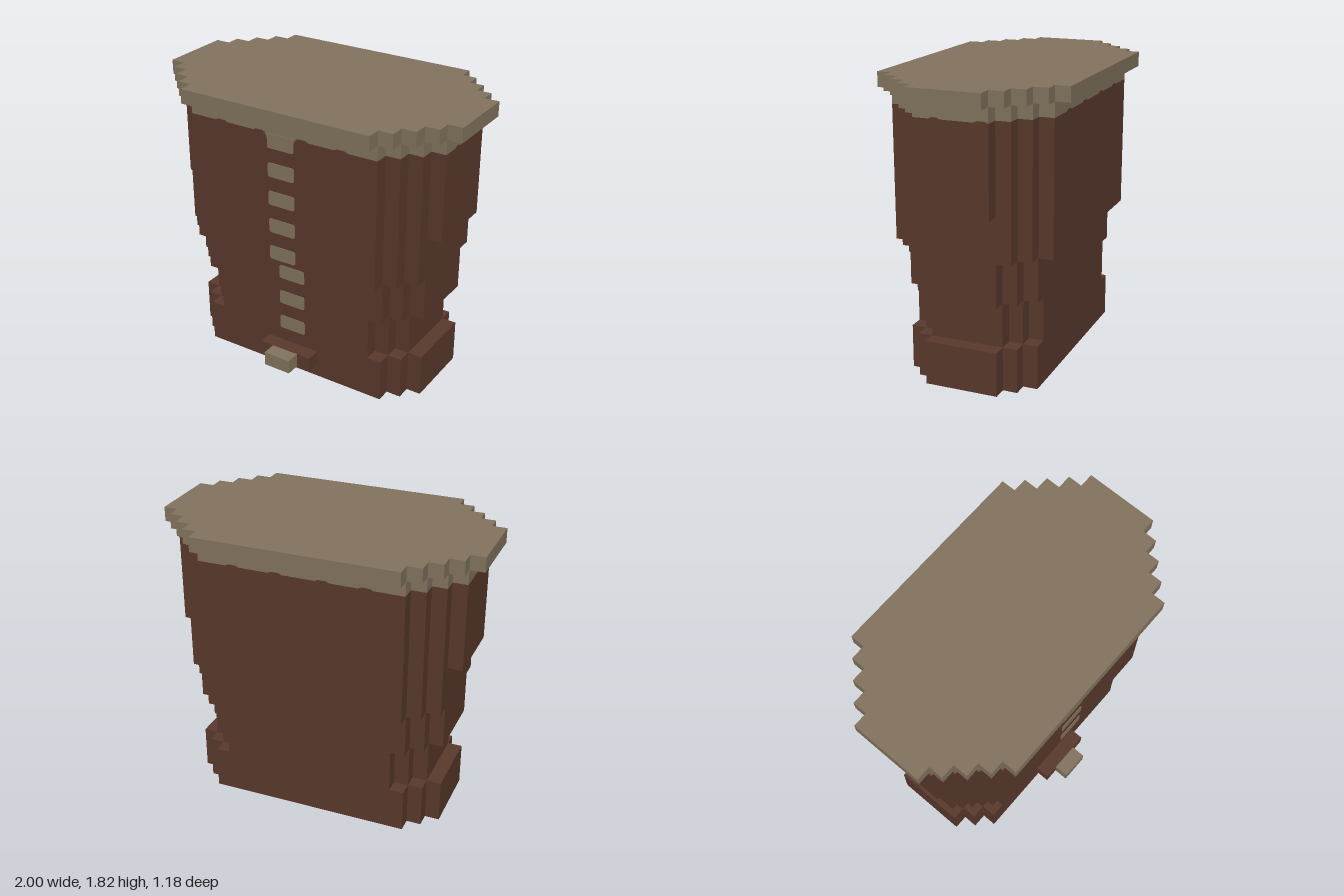
import * as THREE from 'three';

const U = 1 / 11; // one grid step
const PLATE = 0.004;

export function createModel() {
  const model = new THREE.Group();
  model.name = 'steppedBlockBody';

  const brown = new THREE.MeshStandardMaterial({ color: 0x5a392c });
  brown.name = 'dark brown';
  const tan = new THREE.MeshStandardMaterial({ color: 0x83745f });
  tan.name = 'dusty tan';

  function add(name, geometry, material, parent = model) {
    const mesh = new THREE.Mesh(geometry, material);
    mesh.name = name;
    parent.add(mesh);
    return mesh;
  }

  // Layer with stair-stepped ends: half width shrinks one step as half depth grows one step.
  function layer(name, material, y0, y1, maxX, minX, minZ = 2.5) {
    const corner = [];
    for (let x = maxX, z = minZ; x >= minX; x--, z++) {
      if (x < maxX) corner.push([x, z - 1]);
      corner.push([x, z]);
    }
    const flipped = corner.slice().reverse();
    const outline = [
      ...corner,
      ...flipped.map(([x, z]) => [-x, z]),
      ...corner.map(([x, z]) => [-x, -z]),
      ...flipped.map(([x, z]) => [x, -z]),
    ];
    const shape = new THREE.Shape(outline.map(([x, z]) => new THREE.Vector2(x * U, z * U)));
    const geometry = new THREE.ExtrudeGeometry(shape, { depth: (y1 - y0) * U, bevelEnabled: false });
    geometry.rotateX(-Math.PI / 2);
    geometry.translate(0, y0 * U, 0);
    add(name, geometry, material);
  }

  layer('base', brown, 0, 3, 9, 7);
  layer('sideNotch', brown, 3, 6, 8, 6);
  layer('waist', brown, 6, 9, 9, 7);
  layer('chest', brown, 9, 12, 9, 7, 3.5);
  layer('shoulders', brown, 12, 18, 10, 7);
  layer('collar', tan, 18, 19, 10, 7);
  layer('topSlab', tan, 19, 20, 11, 7);

  // Small step at the bottom of the front
  function box(name, material, w, z0) {
    const mesh = add(name, new THREE.BoxGeometry(w * U, U, U), material);
    mesh.position.set(0, 1.5 * U, (z0 + 0.5) * U);
  }
  box('frontLedge', brown, 4, 4.5);
  box('frontLedgeTip', tan, 2, 5.5);

  const plate = (shape) =>
    new THREE.ExtrudeGeometry(shape, { depth: PLATE, bevelEnabled: false, curveSegments: 4 });

  // Dashed stripe down the front
  function roundedRect(w, h, r) {
    const s = new THREE.Shape();
    s.absarc(w / 2 - r, h / 2 - r, r, 0, Math.PI / 2);
    s.absarc(-w / 2 + r, h / 2 - r, r, Math.PI / 2, Math.PI);
    s.absarc(-w / 2 + r, -h / 2 + r, r, Math.PI, Math.PI * 1.5);
    s.absarc(w / 2 - r, -h / 2 + r, r, Math.PI * 1.5, Math.PI * 2);
    s.closePath();
    return s;
  }
  const dash = plate(roundedRect(2 * U, U, 0.014));
  for (let i = 0; i < 7; i++) {
    const row = 3 + 2 * i;
    const mesh = add('frontDash', dash, tan);
    mesh.position.set(0, (row + 0.5) * U, (row < 9 ? 4.5 : 5.5) * U);
  }

  // Drip from the collar, flared where it meets the band
  const top = 18 * U;
  const drip = new THREE.Shape();
  drip.moveTo(-0.12, top);
  drip.quadraticCurveTo(-U, top - 0.003, -U, top - 0.035);
  drip.lineTo(-U, 17 * U + 0.014);
  drip.quadraticCurveTo(-U, 17 * U, -U + 0.014, 17 * U);
  drip.lineTo(U - 0.014, 17 * U);
  drip.quadraticCurveTo(U, 17 * U, U, 17 * U + 0.014);
  drip.lineTo(U, top - 0.035);
  drip.quadraticCurveTo(U, top - 0.003, 0.12, top);
  add('collarDrip', plate(drip), tan).position.z = 5.5 * U;

  // Low waves along the lower edge of the collar: [start, end] on each flat face
  function waves(name, angle, distance, spans) {
    const side = new THREE.Group();
    side.name = name;
    side.rotation.y = angle;
    for (const [a, b] of spans) {
      const s = new THREE.Shape();
      s.moveTo(a, top);
      s.lineTo(b, top);
      s.lineTo(b - 0.02, top + 0.01);
      s.lineTo(a + 0.02, top + 0.01);
      add('collarWave', plate(s), brown, side).position.z = distance * U;
    }
    model.add(side);
  }
  const longSpans = [[-0.46, -0.37], [-0.19, -0.1], [0.1, 0.19], [0.36, 0.45]];
  const shortSpans = [[-0.13, -0.06], [0.14, 0.227]];
  waves('frontWaves', 0, 5.5, longSpans);
  waves('backWaves', Math.PI, 5.5, longSpans);
  waves('leftWaves', Math.PI / 2, 10, shortSpans);
  waves('rightWaves', -Math.PI / 2, 10, shortSpans);

  return model;
}
